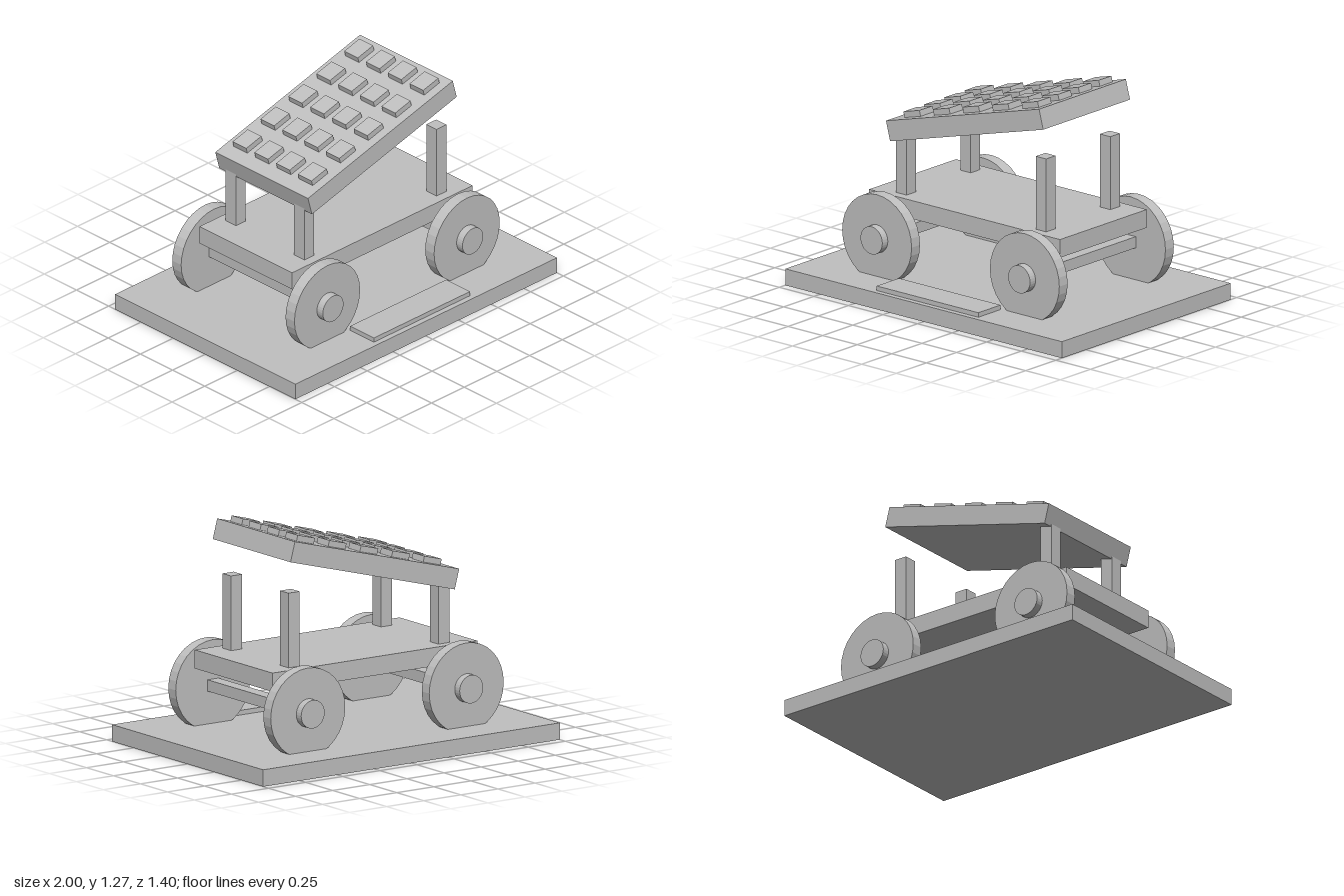
import * as THREE from 'three';

export function createModel() {
  const model = new THREE.Group();
  const grey = new THREE.MeshStandardMaterial({ color: 0xc0c0c0 });
  grey.name = 'plain grey';
  grey.flatShading = true;

  const add = (parent, name, geometry, x, y, z) => {
    const mesh = new THREE.Mesh(geometry, grey);
    mesh.name = name;
    mesh.position.set(x, y, z);
    parent.add(mesh);
    return mesh;
  };
  const box = (parent, name, w, h, d, x, y, z) =>
    add(parent, name, new THREE.BoxGeometry(w, h, d), x, y, z);
  const disc = (parent, name, radius, depth, x, y, z) =>
    add(parent, name, new THREE.CylinderGeometry(radius, radius, depth, 32).rotateX(Math.PI / 2), x, y, z);

  // Display base and its front name plate
  box(model, 'base', 2, 0.094, 1.4, 0, 0.047, 0);
  box(model, 'basePlate', 0.735, 0.04, 0.185, 0, 0.1, 0.575);

  // Chassis deck
  box(model, 'chassis', 1.38, 0.104, 0.72, 0, 0.48, 0);

  // Axles, wheels, hubs and posts; the wheels sink slightly into the base
  for (const sx of [-1, 1]) {
    box(model, 'axle', 0.075, 0.064, 0.84, sx * 0.533, 0.309, 0);
    for (const sz of [-1, 1]) {
      disc(model, 'wheel', 0.251, 0.069, sx * 0.534, 0.31, sz * 0.44);
      disc(model, 'hub', 0.079, 0.08, sx * 0.534, 0.31, sz * 0.48);
      box(model, 'post', 0.075, 0.44, 0.079, sx * 0.505, 0.729, sz * 0.266);
    }
  }

  // Tilted panel with a grid of raised tiles
  const panel = new THREE.Group();
  panel.name = 'tiltedPanel';
  panel.position.set(0, 1.042, 0);
  panel.rotation.z = THREE.MathUtils.degToRad(15);
  model.add(panel);
  box(panel, 'panelBoard', 1.146, 0.115, 0.72, 0, 0, 0);
  for (let col = 0; col < 5; col++) {
    for (let row = 0; row < 4; row++) {
      box(panel, 'tile', 0.12, 0.05, 0.106, 0.02 + (col - 2) * 0.221, 0.066, (row - 1.5) * 0.169);
    }
  }
  return model;
}
